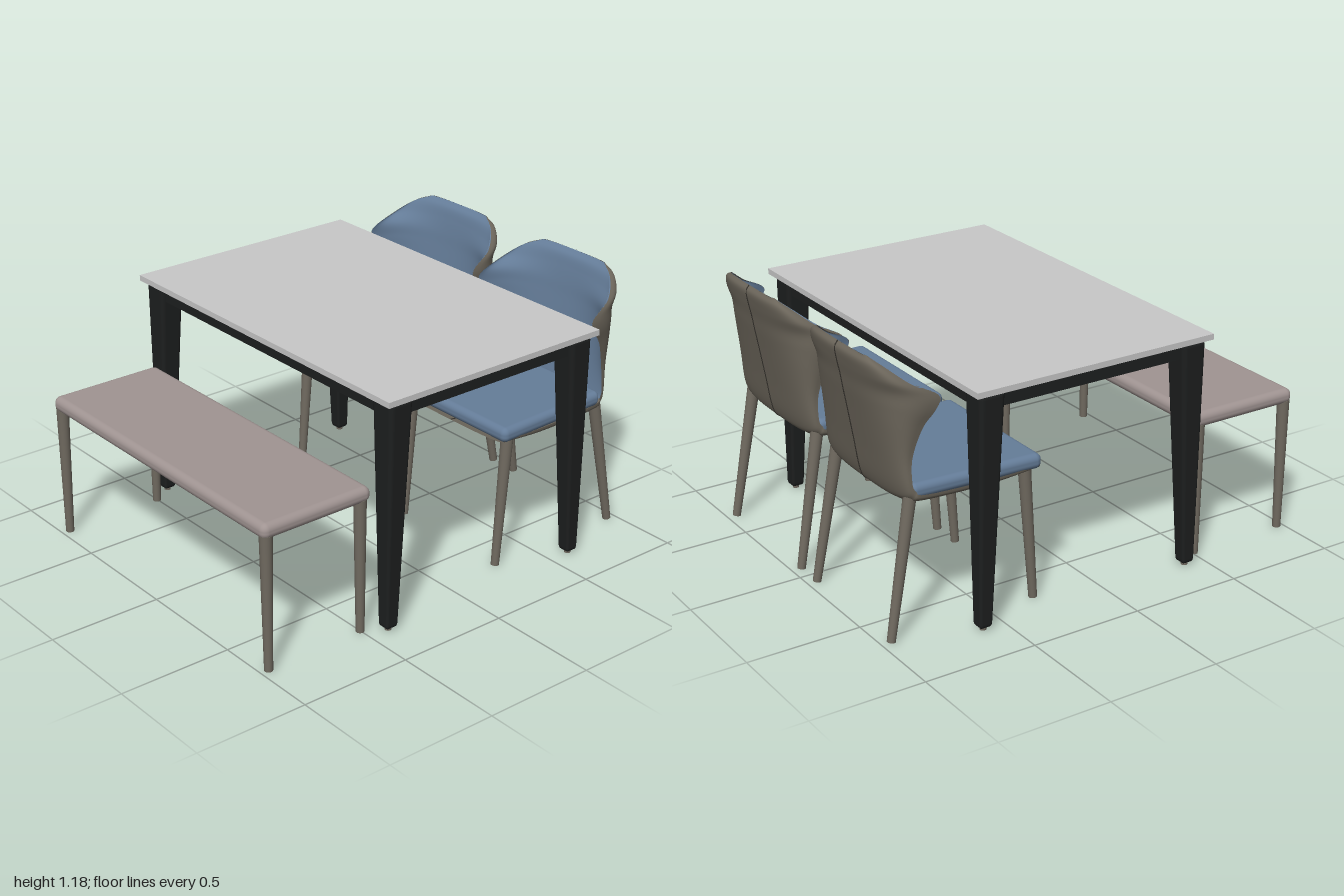
import * as THREE from 'three';
import { RoundedBoxGeometry } from 'three/addons/geometries/RoundedBoxGeometry.js';

const mat = (name, color, extra = {}) => new THREE.MeshStandardMaterial({ name, color, ...extra });

function mesh(name, geometry, material, x = 0, y = 0, z = 0) {
  const m = new THREE.Mesh(geometry, material);
  m.name = name;
  m.position.set(x, y, z);
  return m;
}

// Round tapered leg between a foot point and a top point
function roundLeg(name, foot, top, material) {
  const a = new THREE.Vector3(...foot), b = new THREE.Vector3(...top);
  const m = mesh(name, new THREE.CylinderGeometry(0.027, 0.018, a.distanceTo(b), 20), material);
  m.position.copy(a).add(b).multiplyScalar(0.5);
  m.quaternion.setFromUnitVectors(new THREE.Vector3(0, 1, 0), b.sub(a).normalize());
  return m;
}

// Surface lofted from a centre line to mirrored edge lines; n sets how square the bend is
function loft(centre, edge, n, from, flip) {
  const nu = 40, nv = 60, pos = [], idx = [];
  for (let j = 0; j <= nv; j++) {
    const t = from + (1 - from) * j / nv;
    const c = centre.getPoint(t), e = edge.getPoint(t);
    for (let i = 0; i <= nu; i++) {
      const a = (i / nu - 0.5) * Math.PI;
      const k = 1 - Math.pow(Math.max(0, Math.cos(a)), 2 / n);
      const s = Math.sign(a) * Math.pow(Math.abs(Math.sin(a)), 2 / n);
      pos.push(e.x * s, c.y + (e.y - c.y) * k, c.z + (e.z - c.z) * k);
      if (i < nu && j < nv) {
        const p = j * (nu + 1) + i, q = p + nu + 1;
        if (flip) idx.push(p, p + 1, q, p + 1, q + 1, q);
        else idx.push(p, q, p + 1, p + 1, q, q + 1);
      }
    }
  }
  const g = new THREE.BufferGeometry();
  g.setAttribute('position', new THREE.Float32BufferAttribute(pos, 3));
  g.setIndex(idx);
  g.computeVertexNormals();
  return g;
}

const curve = (pts) => new THREE.CatmullRomCurve3(pts.map((p) => new THREE.Vector3(...p)), false, 'catmullrom', 0.5);

export function createModel() {
  const stone = mat('light grey top', 0xc8c8c8);
  const black = mat('black frame', 0x1d1f1f);
  const taupe = mat('taupe legs', 0x6f695f);
  const shellMat = mat('taupe shell', 0x6b655a, { side: THREE.DoubleSide });
  const blue = mat('blue upholstery', 0x657d99, { side: THREE.DoubleSide });
  const rose = mat('rose grey bench', 0xa09492);
  const seamMat = mat('dark seam', 0x35322d);
  const model = new THREE.Group();
  model.name = 'diningSet';

  // Table
  const table = new THREE.Group();
  table.name = 'table';
  const zMid = -0.0975;
  table.add(mesh('tableTop', new THREE.BoxGeometry(1.69, 0.025, 1.125), stone, 0, 1.0325, zMid));
  for (const s of [-1, 1]) {
    table.add(mesh('longApron', new THREE.BoxGeometry(1.5, 0.07, 0.04), black, 0, 0.985, zMid + s * 0.5));
    table.add(mesh('shortApron', new THREE.BoxGeometry(0.04, 0.07, 0.94), black, s * 0.785, 0.985, zMid));
    for (const f of [-1, 1]) {
      // Leg tapers downwards, mostly on its inner faces
      const g = new RoundedBoxGeometry(0.12, 1.005, 0.115, 4, 0.02);
      const p = g.attributes.position;
      for (let i = 0; i < p.count; i++) {
        const d = 0.5 - p.getY(i) / 1.005;
        p.setX(i, p.getX(i) * (1 - 0.52 * d) + s * 0.014 * d);
        p.setZ(i, p.getZ(i) * (1 - 0.5 * d) + f * 0.024 * d);
      }
      g.computeVertexNormals();
      table.add(mesh('tableLeg', g, black, s * 0.77, 0.5175, zMid + f * 0.481));
      table.add(mesh('footPad', new THREE.CylinderGeometry(0.014, 0.014, 0.03, 16), taupe, s * 0.784, 0.015, zMid + f * 0.505));
    }
  }
  model.add(table);

  // Bench with a slightly crowned cushion
  const bench = new THREE.Group();
  bench.name = 'bench';
  const benchSeat = new RoundedBoxGeometry(1.5, 0.068, 0.53, 5, 0.03);
  bench.add(mesh('benchSeat', benchSeat, rose, 0, 0.619, 0.73));
  for (const x of [-1, 1]) for (const z of [0.505, 0.965])
    bench.add(roundLeg('benchLeg', [x * 0.725, 0, z], [x * 0.722, 0.6, z], taupe));
  model.add(bench);

  // Chair shell guides, from under the seat front to the top of the back
  const outer = curve([[0, 0.575, -0.28], [0, 0.552, -0.5], [0, 0.555, -0.8], [0, 0.568, -0.875], [0, 0.62, -0.905],
    [0, 0.76, -0.93], [0, 0.9, -0.955], [0, 0.98, -0.97], [0, 1.04, -0.98], [0, 1.1, -0.993], [0, 1.15, -1], [0, 1.175, -0.985]]);
  const edge = curve([[0.335, 0.602, -0.28], [0.342, 0.602, -0.5], [0.335, 0.61, -0.8], [0.325, 0.63, -0.845], [0.32, 0.67, -0.858],
    [0.315, 0.77, -0.852], [0.332, 0.89, -0.815], [0.348, 0.96, -0.765], [0.348, 1.015, -0.75], [0.325, 1.075, -0.85], [0.265, 1.135, -0.925], [0.19, 1.172, -0.97]]);
  const inner = curve([[0, 0.6, -0.28], [0, 0.6, -0.5], [0, 0.6, -0.8], [0, 0.6, -0.845], [0, 0.65, -0.86],
    [0, 0.77, -0.882], [0, 0.9, -0.905], [0, 0.98, -0.92], [0, 1.04, -0.93], [0, 1.1, -0.943], [0, 1.15, -0.958], [0, 1.175, -0.985]]);
  const shellGeo = loft(outer, edge, 3, 0, false);
  const liningGeo = loft(inner, edge, 2.3, 3 / 11, true);
  const seamGeo = new THREE.TubeGeometry(outer, 60, 0.003, 6);

  // Seat cushion narrows towards the back
  const cushionGeo = new RoundedBoxGeometry(0.69, 0.066, 0.59, 5, 0.028);
  const cp = cushionGeo.attributes.position;
  for (let i = 0; i < cp.count; i++) {
    const d = Math.max(0, -cp.getZ(i) / 0.295);
    cp.setX(i, cp.getX(i) * (1 - 0.09 * d * d));
  }

  for (const s of [-1, 1]) {
    const chair = new THREE.Group();
    chair.name = s > 0 ? 'leftChair' : 'rightChair';
    chair.position.x = s * 0.37;
    chair.add(mesh('chairShell', shellGeo, shellMat));
    chair.add(mesh('backLining', liningGeo, blue));
    chair.add(mesh('shellSeam', seamGeo, seamMat));
    chair.add(mesh('seatCushion', cushionGeo, blue, 0, 0.62, -0.565));
    for (const x of [-1, 1]) {
      chair.add(roundLeg('frontLeg', [x * 0.298, 0, -0.285], [x * 0.298, 0.6, -0.33], taupe));
      chair.add(roundLeg('backLeg', [x * 0.302, 0, -0.957], [x * 0.285, 0.6, -0.85], taupe));
    }
    model.add(chair);
  }
  return model;
}
